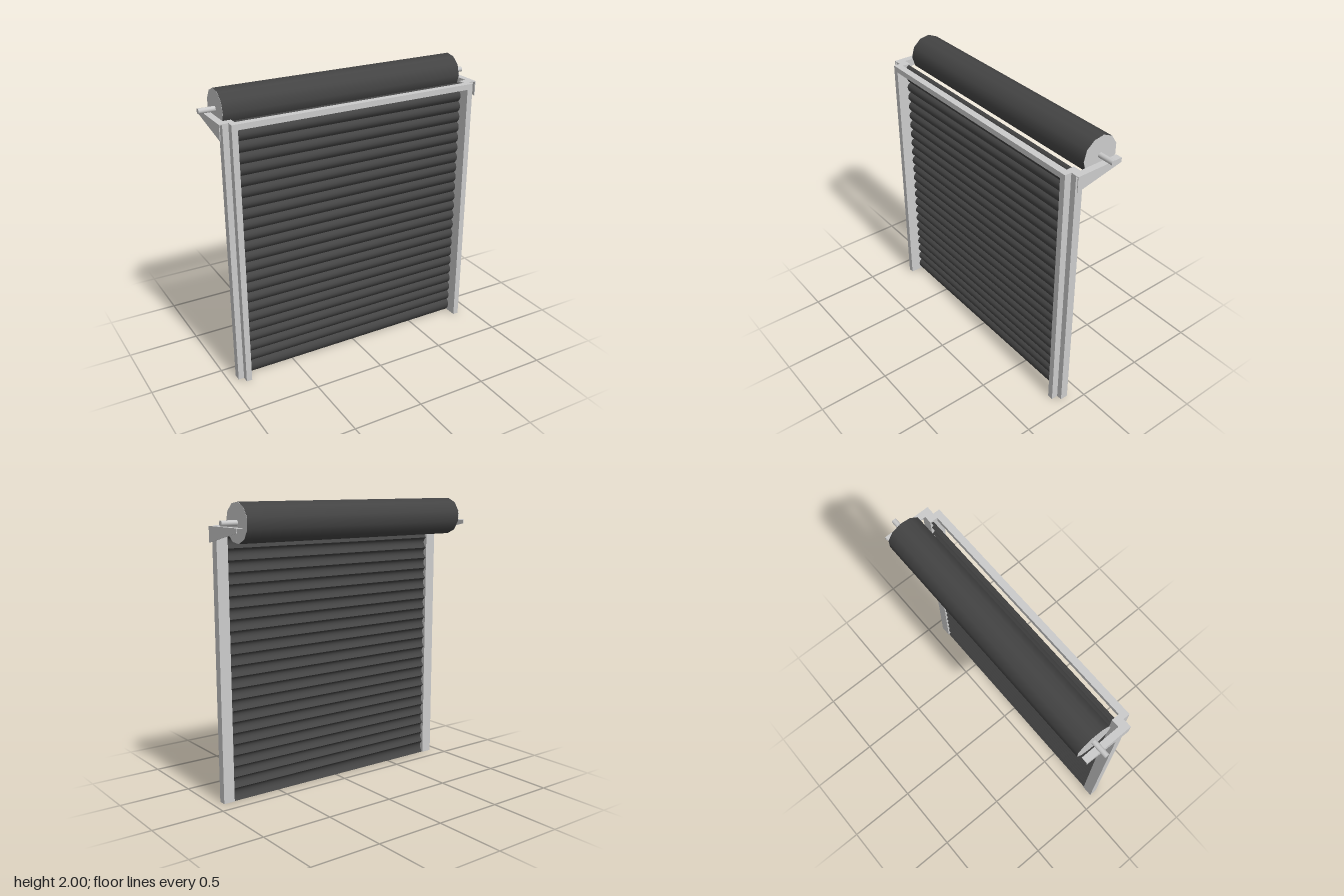
import * as THREE from 'three';

export function createModel() {
  const model = new THREE.Group();
  const grey = new THREE.MeshStandardMaterial({ color: 0xcccccc });
  const greySheet = new THREE.MeshStandardMaterial({ color: 0xcccccc, side: THREE.DoubleSide });
  const dark = new THREE.MeshStandardMaterial({ color: 0x444444, side: THREE.DoubleSide });

  function add(name, geometry, material, parent = model) {
    const mesh = new THREE.Mesh(geometry, material);
    mesh.name = name;
    parent.add(mesh);
  }

  // Box given by its minimum and maximum corners
  function box(name, x0, x1, y0, y1, z0, z1) {
    const geometry = new THREE.BoxGeometry(x1 - x0, y1 - y0, z1 - z0);
    geometry.translate((x0 + x1) / 2, (y0 + y1) / 2, (z0 + z1) / 2);
    add(name, geometry, grey);
  }

  // Outline in (z, y) extruded along x from x0 to x1
  function extrudeX(name, points, x0, x1) {
    const shape = new THREE.Shape(points.map(([z, y]) => new THREE.Vector2(-z, y)));
    const geometry = new THREE.ExtrudeGeometry(shape, { depth: x1 - x0, bevelEnabled: false });
    geometry.rotateY(Math.PI / 2).translate(x0, 0, 0);
    add(name, geometry, greySheet);
  }

  // Stepped side guides, and an angle bracket behind each
  const postTop = 1.845;
  for (const side of [1, -1]) {
    const label = side > 0 ? 'left' : 'right';
    const span = (a, b) => (side > 0 ? [a, b] : [-b, -a]);

    const outline = [[0.855, 0.10], [0.935, 0.10], [0.935, 0.155], [0.895, 0.155], [0.895, 0.203], [0.855, 0.203]];
    const shape = new THREE.Shape(outline.map(([x, z]) => new THREE.Vector2(side * x, -z)));
    const post = new THREE.ExtrudeGeometry(shape, { depth: postTop, bevelEnabled: false });
    post.rotateX(-Math.PI / 2);
    add(label + 'Guide', post, grey);

    extrudeX(label + 'BracketPlate',
      [[0.157, postTop], [0.157, 1.74], [-0.185, 1.815], [-0.185, postTop]], ...span(0.951, 0.956));
    box(label + 'BracketFlange', ...span(0.91, 0.952), postTop - 0.005, postTop, -0.185, 0.157);
  }

  // Header bar between the guides
  box('header', -0.855, 0.855, 1.807, postTop, 0.155, 0.203);

  // Curtain of curved slats
  const curtain = new THREE.Group();
  curtain.name = 'curtain';
  model.add(curtain);
  const bulge = new THREE.SplineCurve([
    new THREE.Vector2(0, 0.106), new THREE.Vector2(0.3, 0.124), new THREE.Vector2(0.6, 0.129),
    new THREE.Vector2(0.85, 0.121), new THREE.Vector2(1, 0.106),
  ]);
  function slat(name, bottom, height) {
    const geometry = new THREE.PlaneGeometry(1.71, height, 1, 8);
    const position = geometry.attributes.position;
    for (let i = 0; i < position.count; i++) {
      const t = THREE.MathUtils.clamp(position.getY(i) / height + 0.5, 0, 1);
      const point = bulge.getPoint(t);
      position.setY(i, bottom + point.x * height);
      position.setZ(i, point.y);
    }
    geometry.computeVertexNormals();
    add(name, geometry, dark, curtain);
  }
  const pitch = 0.0767;
  slat('bottomSlat', 0, 0.09);
  for (let i = 0; i < 22; i++) slat('slat', 0.09 + i * pitch, pitch);
  slat('topSlat', 0.09 + 22 * pitch, 0.06);

  // Rolled curtain drum: smooth dark skin with flat grey ends
  const roll = new THREE.Group();
  roll.name = 'roll';
  roll.position.set(0, 1.871, -0.075);
  model.add(roll);
  const sides = 11, radius = 0.13, start = THREE.MathUtils.degToRad(98);
  const skin = new THREE.CylinderGeometry(radius, radius, 1.774, sides, 1, true, start);
  add('drum', skin.rotateZ(Math.PI / 2), dark, roll);
  for (const side of [1, -1]) {
    const cap = new THREE.CylinderGeometry(radius, radius, 0.002, sides, 1, false, start);
    cap.rotateZ(Math.PI / 2).translate(side * 0.887, 0, 0);
    add('drumEnd', cap, grey, roll);
  }

  // Axle through the drum
  const axle = new THREE.CylinderGeometry(0.018, 0.018, 2, 12);
  add('axle', axle.rotateZ(Math.PI / 2), grey, roll);

  return model;
}
